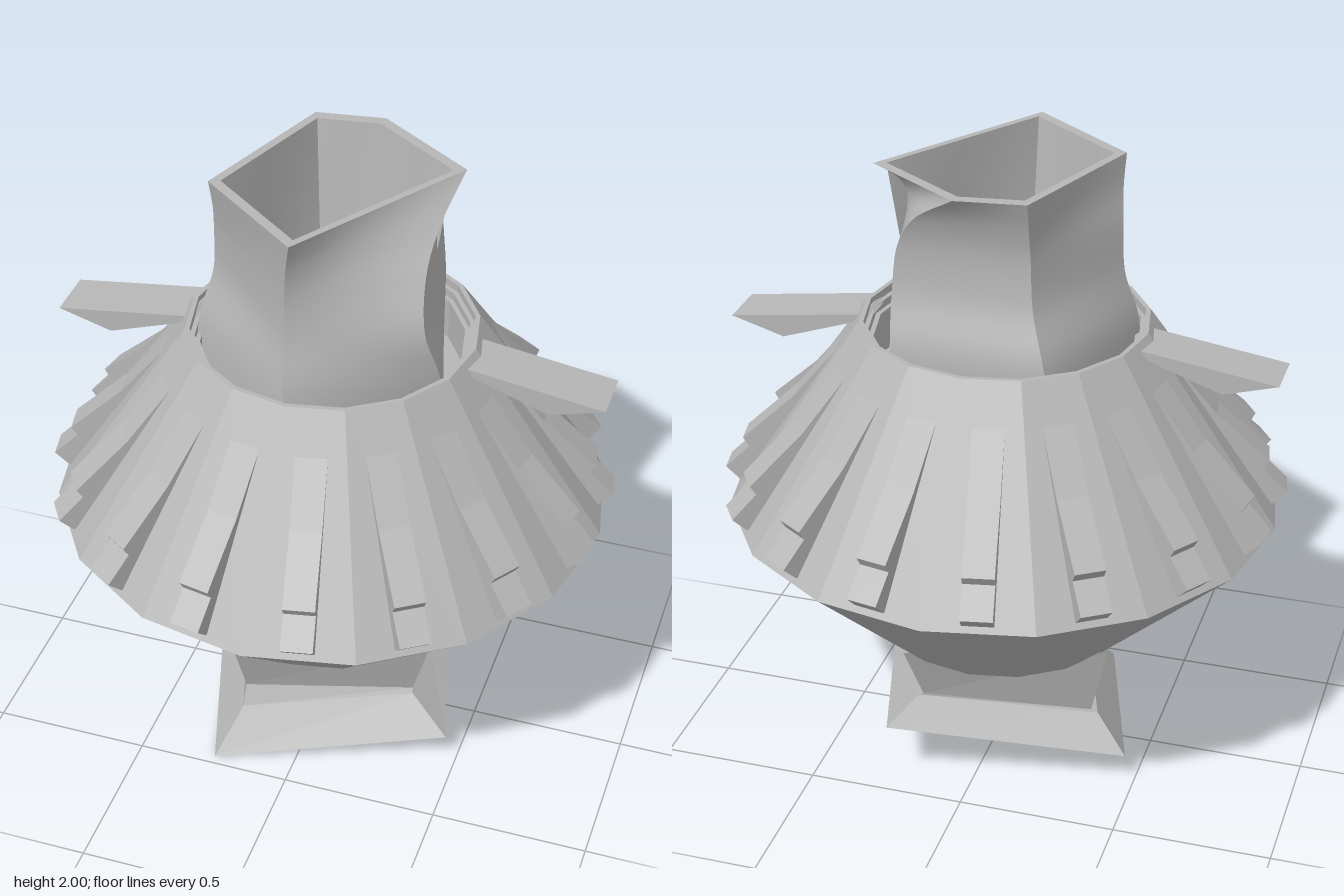
import * as THREE from 'three';

const grey = new THREE.MeshStandardMaterial({ color: 0xb6b6b6 });
grey.name = 'stone grey';

function add(group, name, geometry) {
  const mesh = new THREE.Mesh(geometry, grey);
  mesh.name = name;
  group.add(mesh);
  return mesh;
}

// Facets a geometry
function faceted(geometry) {
  const g = geometry.toNonIndexed();
  g.computeVertexNormals();
  return g;
}

// Skins a stack of loops; each side is its own strip so corners stay sharp
function loft(rings, sides) {
  const pos = [], index = [], per = rings[0].length / sides;
  for (let s = 0; s < sides; s++) {
    const base = pos.length / 3;
    for (const ring of rings) {
      for (let k = 0; k <= per; k++) {
        const p = ring[(s * per + k) % ring.length];
        pos.push(p.x, p.y, p.z);
      }
    }
    for (let i = 0; i < rings.length - 1; i++) {
      for (let k = 0; k < per; k++) {
        const a = base + i * (per + 1) + k, d = a + per + 1;
        index.push(a, a + 1, d + 1, a, d + 1, d);
      }
    }
  }
  const g = new THREE.BufferGeometry();
  g.setAttribute('position', new THREE.Float32BufferAttribute(pos, 3));
  g.setIndex(index);
  g.computeVertexNormals();
  return g;
}

// Splits each side of a polygon into n pieces
function subdivide(corners, n) {
  return corners.flatMap((p, i) => {
    const q = corners[(i + 1) % corners.length];
    return Array.from({ length: n }, (_, k) => p.clone().lerp(q, k / n));
  });
}

const V = (x, y, z) => new THREE.Vector3(x, y, z);

// Side profile extruded to a width, lying along +x
function profileBlock(points, width) {
  const shape = new THREE.Shape(points.map(([x, y]) => new THREE.Vector2(x, y)));
  const g = new THREE.ExtrudeGeometry(shape, { depth: width, bevelEnabled: false });
  g.translate(0, 0, -width / 2);
  return g;
}

export function createModel() {
  const model = new THREE.Group();
  model.name = 'vessel';

  // Sixteen-sided body with stepped rims at both openings
  const profile = [
    [0.28, 0.47], [0.36, 0.47], [0.36, 0.445], [0.385, 0.445], [0.385, 0.425], [0.4, 0.425],
    [0.87, 0.875], [0.45, 1.485], [0.435, 1.485], [0.435, 1.46], [0.42, 1.46], [0.42, 1.435],
    [0.405, 1.435], [0.405, 1.3], [0.27, 1.3],
  ].map(([r, y]) => new THREE.Vector2(r, y));
  add(model, 'body', faceted(new THREE.LatheGeometry(profile, 16)));

  // Stepped ribs, one per facet
  const rib = profileBlock([
    [0.78, 0.895], [0.845, 0.895], [0.888, 0.938], [0.81, 1.015], [0.828, 1.045],
    [0.66, 1.2], [0.51, 1.38], [0.46, 1.38],
  ], 0.096);
  const ribs = new THREE.Group();
  ribs.name = 'ribs';
  model.add(ribs);
  for (let i = 0; i < 16; i++) {
    add(ribs, 'rib', rib).rotation.y = (i + 0.5) * Math.PI / 8;
  }

  // Side handles
  const fin = profileBlock([[0.41, 1.455], [0.7, 1.355], [0.87, 1.405], [0.43, 1.467]], 0.166);
  for (const [name, turn] of [['leftHandle', 0], ['rightHandle', Math.PI]]) {
    add(model, name, fin).rotation.y = turn;
  }

  // Twisted five-sided neck: each corner follows a curve of [x, z] at these heights
  const heights = [1.3, 1.49, 1.65, 1.8, 1.9, 2];
  const corners = [
    [[-0.02, 0.42], [-0.025, 0.4], [-0.03, 0.36], [-0.03, 0.355], [-0.02, 0.37], [0, 0.4]],
    [[0.39, 0.12], [0.385, 0.17], [0.345, 0.2], [0.325, 0.13], [0.33, 0.02], [0.36, -0.155]],
    [[0.26, -0.32], [0.265, -0.315], [0.27, -0.27], [0.25, -0.27], [0.19, -0.3], [0.05, -0.365]],
    [[-0.25, -0.34], [-0.22, -0.345], [-0.17, -0.29], [-0.16, -0.28], [-0.16, -0.3], [-0.165, -0.335]],
    [[-0.4, 0.12], [-0.395, 0.1], [-0.355, 0.07], [-0.345, 0.08], [-0.335, 0.11], [-0.335, 0.14]],
  ].map(path => new THREE.CatmullRomCurve3(path.map(([x, z], i) => V(x, heights[i], z))));
  const steps = 30, per = 6;
  const neckRings = Array.from({ length: steps + 1 }, (_, i) =>
    subdivide(corners.map(c => c.getPoint(i / steps)), per));
  add(model, 'neck', loft(neckRings, 5));

  // Flat lip and the funnel inside the neck
  const outer = neckRings[steps];
  const inner = outer.map(p => V(p.x * 0.9, 2, p.z * 0.9));
  add(model, 'lip', loft([outer, inner], 5));
  const floorY = 1, floorR = 0.205;
  const circle = inner.map(p => {
    const d = Math.hypot(p.x, p.z);
    return V(p.x / d * floorR, floorY, p.z / d * floorR);
  });
  const funnelRings = Array.from({ length: 9 }, (_, i) =>
    inner.map((p, k) => p.clone().lerp(circle[k], i / 8)));
  add(model, 'funnel', loft(funnelRings, 5));
  const floor = new THREE.CircleGeometry(floorR + 0.005, 40).rotateX(-Math.PI / 2);
  add(model, 'funnelFloor', floor).position.y = floorY;

  // Square foot on a tilted, flared base; corners run front, right, back, left
  const bottom = [V(-0.255, 0.003, 0.47), V(0.47, 0.11, 0.255), V(0.255, 0.215, -0.465), V(-0.475, 0.11, -0.255)];
  const flareTop = [V(-0.195, 0.14, 0.35), V(0.335, 0.21, 0.19), V(0.19, 0.27, -0.335), V(-0.365, 0.21, -0.185)];
  const footLow = [V(-0.195, 0.206, 0.315), V(0.33, 0.215, 0.17), V(0.175, 0.275, -0.33), V(-0.34, 0.212, -0.175)];
  const footTop = [V(-0.215, 0.465, 0.4), V(0.4, 0.465, 0.215), V(0.215, 0.465, -0.4), V(-0.4, 0.465, -0.215)];
  const centre = V(0, 0.1095, 0);
  add(model, 'base', faceted(loft([bottom.map(() => centre), bottom, flareTop], 4)));
  add(model, 'foot', faceted(loft([flareTop, footLow, footTop], 4)));

  return model;
}
